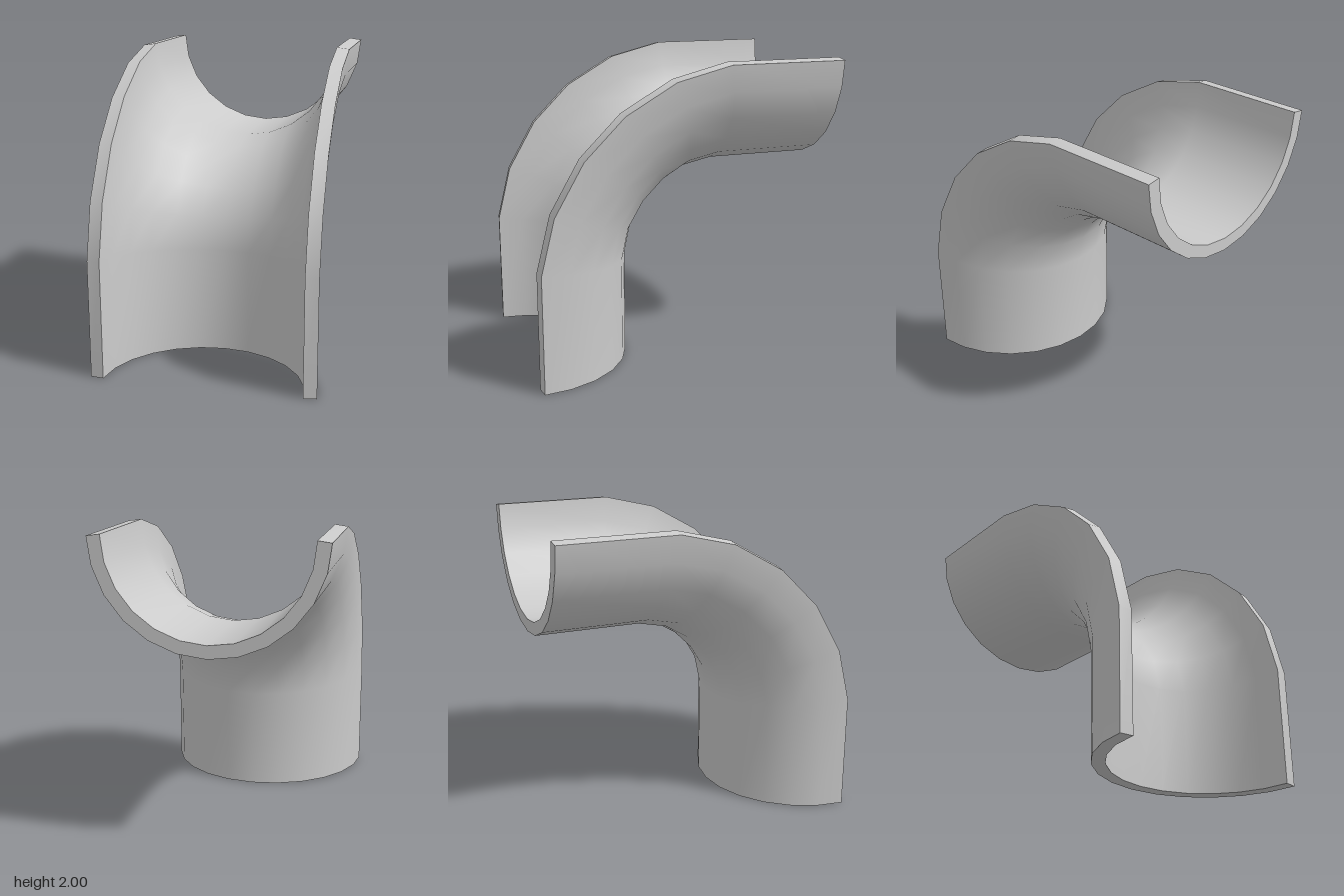
import * as THREE from 'three';

const INNER = 0.64, OUTER = 0.725, SEGMENTS = 12;

// Bend stations as [z, y]: the open rim line and the back of the trough
const rimHalf = [[1, 0], [1, 0.77], [0.91, 1.13], [0.72, 1.46]];
const backHalf = [[0.28, 0], [0.28, 0.69], [0.24, 0.88], [0.15, 1.03]];
// The bend is symmetric about its diagonal
const mirrored = half => [...half, ...half.slice().reverse().map(([z, y]) => [y - 1, z + 1])];

// Half-round cross-section from -x to +x at one station
function arc(rim, back, radius, lip) {
  const points = [];
  for (let j = 0; j <= SEGMENTS; j++) {
    const a = (j / SEGMENTS - 0.5) * Math.PI;
    const depth = Math.max(Math.cos(a) * radius / OUTER, lip);
    points.push([
      Math.sin(a) * radius,
      rim[1] + (back[1] - rim[1]) * depth,
      rim[0] + (back[0] - rim[0]) * depth,
    ]);
  }
  return points;
}

// Smooth surface through rows of points
function surface(name, rows, material) {
  const cols = rows[0].length, index = [];
  for (let i = 0; i < rows.length - 1; i++) {
    for (let j = 0; j < cols - 1; j++) {
      const a = i * cols + j, b = a + cols;
      index.push(a, b, a + 1, b, b + 1, a + 1);
    }
  }
  const geometry = new THREE.BufferGeometry();
  geometry.setAttribute('position', new THREE.Float32BufferAttribute(rows.flat(2), 3));
  geometry.setIndex(index);
  geometry.computeVertexNormals();
  const mesh = new THREE.Mesh(geometry, material);
  mesh.name = name;
  return mesh;
}

export function createModel() {
  const material = new THREE.MeshStandardMaterial({ color: 0xcccccc });
  const rim = mirrored(rimHalf), back = mirrored(backHalf);
  const outer = rim.map((r, i) => arc(r, back[i], OUTER, 0.016));
  const inner = rim.map((r, i) => arc(r, back[i], INNER, 0));
  const last = rim.length - 1;

  const group = new THREE.Group();
  group.name = 'bentHalfPipe';
  group.add(
    // Curved walls
    surface('outerWall', outer, material),
    surface('innerWall', inner.map(row => row.slice().reverse()), material),
    // Long edges joining the walls
    surface('leftRim', outer.map((row, i) => [row[SEGMENTS], inner[i][SEGMENTS]]), material),
    surface('rightRim', outer.map((row, i) => [inner[i][0], row[0]]), material),
    // Half-ring ends
    surface('bottomEnd', [inner[0], outer[0]], material),
    surface('backEnd', [outer[last], inner[last]], material),
  );
  return group;
}
